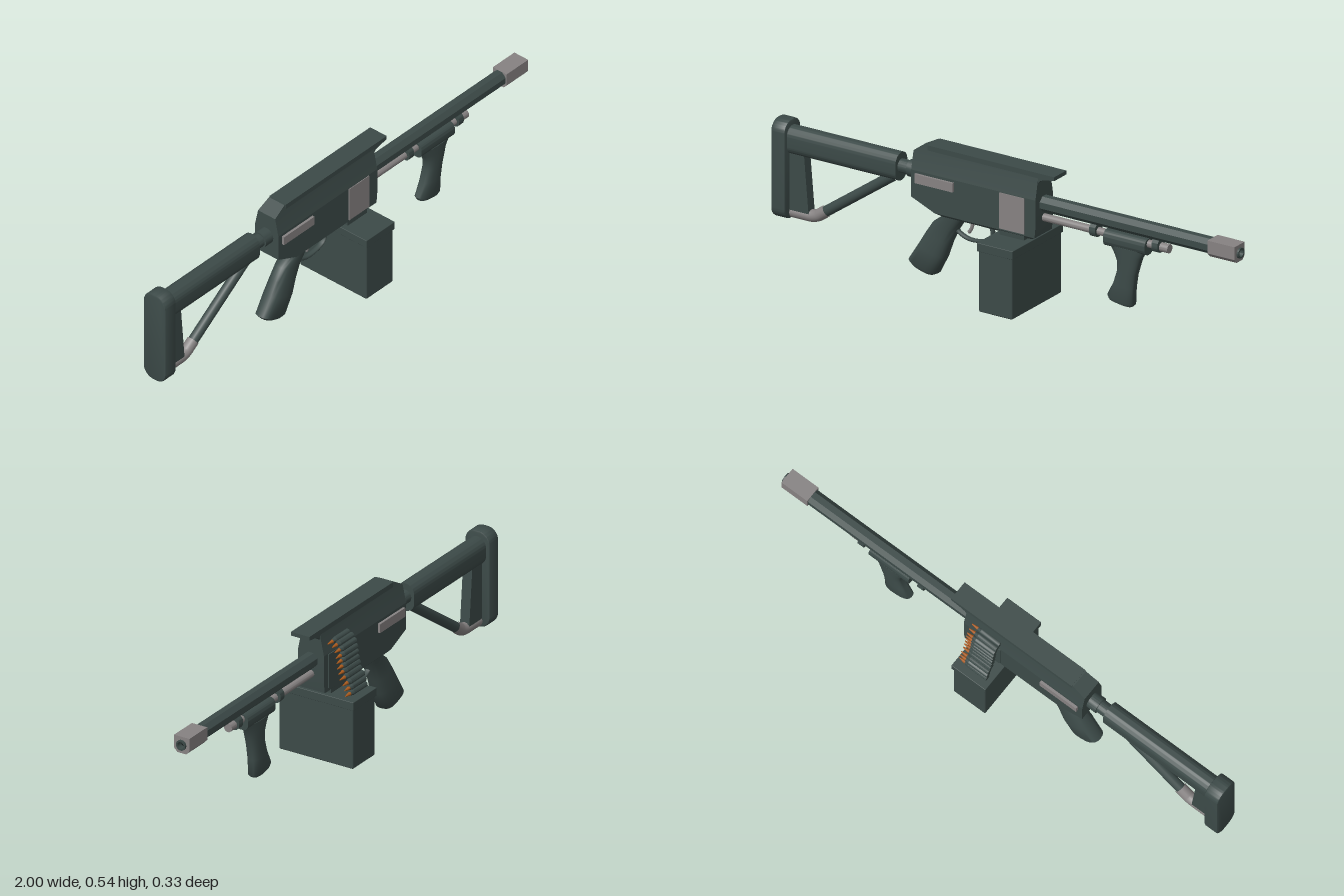
import * as THREE from 'three';
import { toCreasedNormals } from 'three/addons/utils/BufferGeometryUtils.js';
import { RoundedBoxGeometry } from 'three/addons/geometries/RoundedBoxGeometry.js';

const mat = (name, color) => Object.assign(new THREE.MeshStandardMaterial({ color }), { name });
const V = (x, y, z = 0) => new THREE.Vector3(x, y, z);

// Skin stacked rings (bottom to top, counter-clockwise from above) and cap both ends
function loft(rings, crease = 0.6) {
  const pos = [], n = rings[0].length;
  const tri = (...p) => p.forEach(v => pos.push(v.x, v.y, v.z));
  for (let r = 0; r < rings.length - 1; r++) {
    for (let i = 0; i < n; i++) {
      const j = (i + 1) % n, a = rings[r], b = rings[r + 1];
      tri(a[i], a[j], b[j]);
      tri(a[i], b[j], b[i]);
    }
  }
  const lo = rings[0], hi = rings[rings.length - 1];
  for (let i = 1; i < n - 1; i++) {
    tri(lo[0], lo[i + 1], lo[i]);
    tri(hi[0], hi[i], hi[i + 1]);
  }
  const g = new THREE.BufferGeometry();
  g.setAttribute('position', new THREE.Float32BufferAttribute(pos, 3));
  return toCreasedNormals(g, crease);
}

// Rectangular ring: rear x, front x, height, half width
const rectRing = ([x0, x1, y, w]) => [V(x0, y, w), V(x1, y, w), V(x1, y, -w), V(x0, y, -w)];

// Rounded ring between a rear and a front point with a half width
function gripRing([bx, by, fx, fy, w], n = 24) {
  const soft = v => Math.sign(v) * Math.abs(v) ** 0.75;
  return Array.from({ length: n }, (_, i) => {
    const t = i / n * Math.PI * 2, c = soft(Math.cos(t));
    return V((bx + fx) / 2 + (fx - bx) / 2 * c, (by + fy) / 2 + (fy - by) / 2 * c, -w * soft(Math.sin(t)));
  });
}

function shapeOf(points) {
  return new THREE.Shape(points.map(p => new THREE.Vector2(p[0], p[1])));
}

// Side profile (x, y) extruded across the width
function profile(points, w) {
  return new THREE.ExtrudeGeometry(shapeOf(points), { depth: w * 2, bevelEnabled: false }).translate(0, 0, -w);
}

// Upright stadium-like section (half width w, half height h, corner radius r) extruded along x
function slotBar(x0, x1, y, w, h, r, bevel = 0) {
  const s = new THREE.Shape();
  [[w - r, h - r, 0], [r - w, h - r, 1], [r - w, r - h, 2], [w - r, r - h, 3]].forEach(([cx, cy, q]) =>
    s.absarc(cx, cy, r - bevel, q * Math.PI / 2, (q + 1) * Math.PI / 2));
  const g = new THREE.ExtrudeGeometry(s, {
    depth: x1 - x0 - 2 * bevel, curveSegments: 8, bevelEnabled: bevel > 0,
    bevelSize: bevel, bevelThickness: bevel, bevelSegments: 2,
  });
  return toCreasedNormals(g.rotateY(Math.PI / 2).translate(x0 + bevel, y, 0), 0.6);
}

// Round or faceted rod along x
function rod(x0, x1, y, r0, r1 = r0, sides = 24, z = 0, open = false) {
  const g = new THREE.CylinderGeometry(r1, r0, x1 - x0, sides, 1, open, sides < 10 ? Math.PI / sides : 0);
  return toCreasedNormals(g.rotateZ(-Math.PI / 2).translate((x0 + x1) / 2, y, z), 0.5);
}

function box(x0, x1, y0, y1, z0, z1) {
  return new THREE.BoxGeometry(x1 - x0, y1 - y0, z1 - z0).translate((x0 + x1) / 2, (y0 + y1) / 2, (z0 + z1) / 2);
}

function softBox(x0, x1, y0, y1, w, r) {
  return new RoundedBoxGeometry(x1 - x0, y1 - y0, w * 2, 2, r).translate((x0 + x1) / 2, (y0 + y1) / 2, 0);
}

export function createModel() {
  const dark = mat('darkGreenMetal', 0x3c4a48);
  const grey = mat('greyMetal', 0x868282);
  const copper = mat('copper', 0xa8591c);
  const bore = mat('boreBlack', 0x141a1a);
  const model = new THREE.Group();
  const add = (name, geo, m = dark, parent = model) => {
    const mesh = new THREE.Mesh(geo, m);
    mesh.name = name;
    parent.add(mesh);
    return mesh;
  };

  // Receiver and overhanging top cover
  add('receiver', loft([
    [-0.26, 0.125, 0.278, 0.046], [-0.29, 0.143, 0.288, 0.056], [-0.39, 0.147, 0.33, 0.056],
    [-0.39, 0.147, 0.435, 0.056], [-0.39, 0.147, 0.505, 0.041], [-0.335, 0.147, 0.535, 0.037],
  ].map(rectRing), 0.1));
  add('topCover', profile([[-0.33, 0.5], [0.147, 0.497], [0.156, 0.508], [0.18, 0.516], [0.217, 0.521],
    [0.217, 0.536], [-0.33, 0.536]], 0.0395));
  add('ejectionPlate', box(-0.008, 0.1, 0.294, 0.433, 0.05, 0.059), grey);
  for (const s of [1, -1]) {
    add('sidePanel', box(-0.37, -0.205, 0.39, 0.425, s * 0.06 - 0.006, s * 0.06 + 0.006), grey);
  }

  // Stock
  add('stockCollar', rod(-0.43, -0.38, 0.414, 0.032));
  add('stockNeck', rod(-0.48, -0.42, 0.414, 0.026));
  add('stockTube', slotBar(-0.95, -0.47, 0.411, 0.038, 0.054, 0.037));
  add('buttPlate', slotBar(-1, -0.94, 0.297, 0.053, 0.19, 0.045, 0.006));
  add('stockWeb', profile([[-0.945, 0.14], [-0.858, 0.14], [-0.878, 0.37], [-0.945, 0.37]], 0.02));
  add('stockStrut', new THREE.TubeGeometry(new THREE.LineCurve3(V(-0.5, 0.37), V(-0.81, 0.152)), 1, 0.02, 16));
  const elbow = new THREE.CurvePath();
  elbow.add(new THREE.LineCurve3(V(-0.79, 0.167), V(-0.825, 0.142)));
  elbow.add(new THREE.QuadraticBezierCurve3(V(-0.825, 0.142), V(-0.843, 0.132), V(-0.865, 0.132)));
  elbow.add(new THREE.LineCurve3(V(-0.865, 0.132), V(-0.945, 0.132)));
  add('stockElbow', new THREE.TubeGeometry(elbow, 20, 0.023, 16), grey);

  // Barrel and muzzle brake
  add('barrel', rod(0.14, 0.9, 0.408, 0.031, 0.031, 8));
  const brake = shapeOf([[-0.033, 0.032], [-0.033, -0.018], [-0.019, -0.033], [0.019, -0.033], [0.033, -0.018], [0.033, 0.032]]);
  brake.holes.push(new THREE.Path().absarc(0, 0, 0.019, 0, Math.PI * 2));
  add('muzzleBrake', new THREE.ExtrudeGeometry(brake, { depth: 0.117, bevelEnabled: false })
    .rotateY(Math.PI / 2).translate(0.875, 0.406, 0), grey);
  const ring = new THREE.Shape().absarc(0, 0, 0.02, 0, Math.PI * 2);
  ring.holes.push(new THREE.Path().absarc(0, 0, 0.0135, 0, Math.PI * 2));
  add('muzzleRing', toCreasedNormals(new THREE.ExtrudeGeometry(ring, { depth: 0.1, bevelEnabled: false })
    .rotateY(Math.PI / 2).translate(0.9, 0.406, 0), 0.5));
  add('muzzleBore', rod(0.89, 0.975, 0.406, 0.014), bore);

  // Lower tube with clamps
  add('lowerTube', rod(0.14, 0.67, 0.353, 0.0145), grey);
  add('lowerTubeCap', rod(0.655, 0.69, 0.353, 0.017), grey);
  for (const x of [0.37, 0.64]) add('tubeClamp', slotBar(x - 0.013, x + 0.013, 0.357, 0.024, 0.026, 0.022));

  // Foregrip
  const foregrip = new THREE.Group();
  foregrip.name = 'foregrip';
  model.add(foregrip);
  add('foregripMount', slotBar(0.42, 0.6, 0.341, 0.028, 0.031, 0.024), dark, foregrip);
  add('foregripHandle', loft([
    [0.432, 0.108, 0.53, 0.093, 0.022], [0.425, 0.122, 0.54, 0.102, 0.026], [0.452, 0.175, 0.542, 0.165, 0.026],
    [0.468, 0.225, 0.55, 0.22, 0.026], [0.468, 0.262, 0.562, 0.26, 0.026], [0.455, 0.29, 0.572, 0.29, 0.026],
    [0.435, 0.32, 0.592, 0.32, 0.026],
  ].map(r => gripRing(r)), 0.9), dark, foregrip);

  // Pistol grip
  add('pistolGrip', loft([
    [-0.418, 0.055, -0.325, 0.026, 0.03], [-0.43, 0.07, -0.308, 0.034, 0.038], [-0.385, 0.14, -0.272, 0.105, 0.04],
    [-0.355, 0.19, -0.25, 0.165, 0.036], [-0.325, 0.235, -0.228, 0.212, 0.034], [-0.29, 0.262, -0.205, 0.25, 0.036],
    [-0.285, 0.3, -0.175, 0.295, 0.04],
  ].map(r => gripRing(r)), 0.9));

  // Trigger and guard
  const guard = new THREE.CatmullRomCurve3([V(-0.23, 0.225), V(-0.19, 0.199), V(-0.14, 0.196), V(-0.09, 0.212),
    V(-0.074, 0.24), V(-0.088, 0.272), V(-0.14, 0.282), V(-0.21, 0.28)], true);
  add('triggerGuard', new THREE.TubeGeometry(guard, 48, 0.007, 8, true).scale(1, 1, 1.6));
  const trigger = new THREE.QuadraticBezierCurve3(V(-0.165, 0.285), V(-0.155, 0.245), V(-0.178, 0.222));
  add('trigger', new THREE.TubeGeometry(trigger, 10, 0.007, 8), grey);

  // Ammunition box
  add('ammoBox', softBox(-0.029, 0.115, 0, 0.25, 0.159, 0.005));
  add('ammoBoxLid', softBox(-0.034, 0.12, 0.235, 0.268, 0.164, 0.002));
  add('boxMount', box(-0.01, 0.095, 0.26, 0.285, -0.053, 0.053));

  // Feed opening and hanging cartridge belt
  add('feedPlate', box(-0.02, 0.12, 0.3, 0.433, -0.06, -0.052));
  const belt = [[0.051, 0.469], [0.069, 0.46], [0.081, 0.443], [0.086, 0.422], [0.089, 0.402], [0.092, 0.381],
    [0.097, 0.361], [0.103, 0.34], [0.115, 0.321], [0.122, 0.302], [0.126, 0.281]];
  belt.forEach(([z, y], i) => {
    const cartridge = new THREE.Group();
    cartridge.name = 'cartridge' + (i + 1);
    add('casing', rod(-0.015, 0.07, y, 0.0115, 0.0115, 14, -z), dark, cartridge);
    add('shoulder', rod(0.07, 0.085, y, 0.0115, 0.0075, 14, -z), dark, cartridge);
    add('bulletTip', rod(0.085, 0.113, y, 0.007, 0.002, 12, -z), copper, cartridge);
    model.add(cartridge);
  });
  return model;
}
